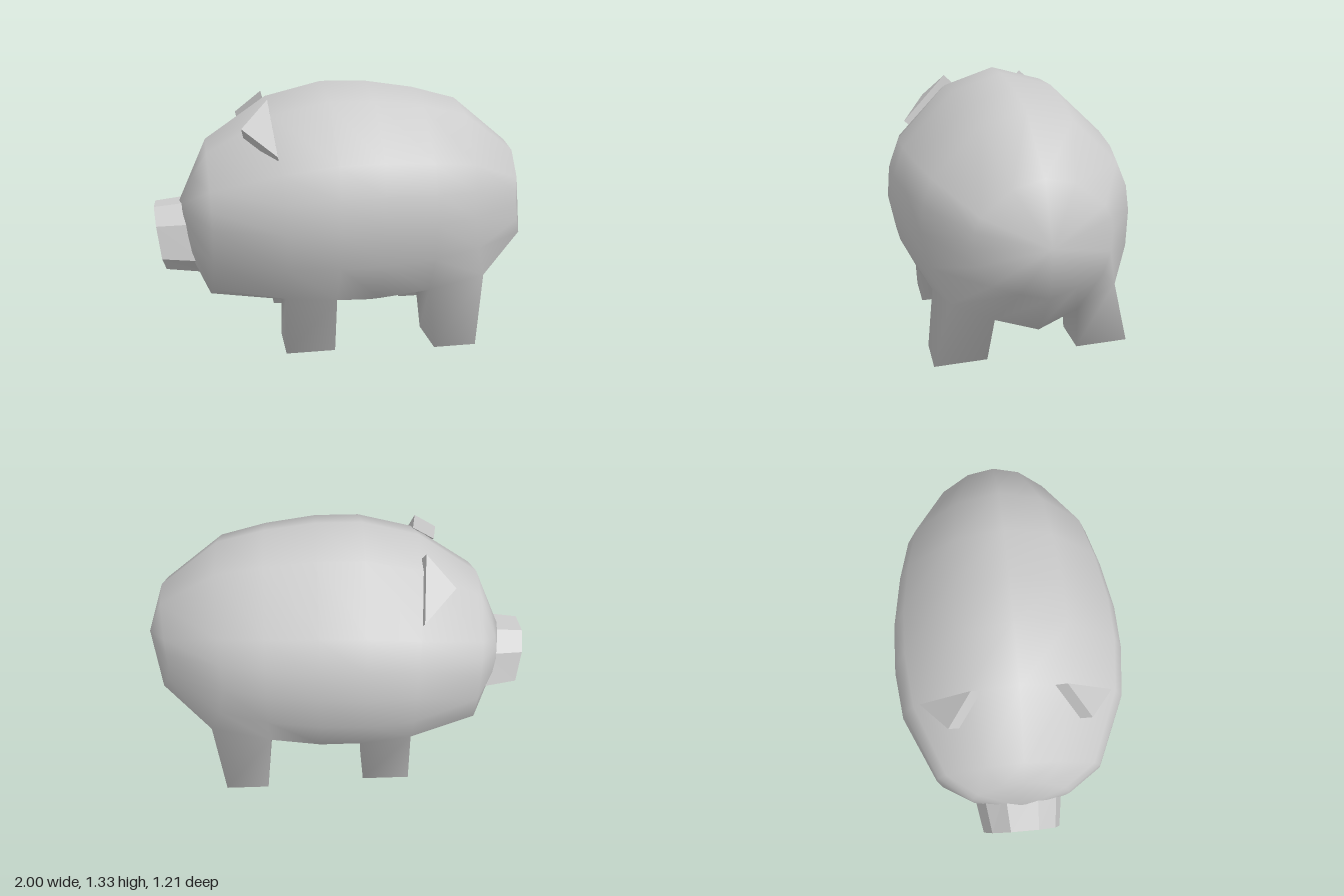
import * as THREE from 'three';

const material = new THREE.MeshStandardMaterial({ color: 0xcccccc });
const flatMaterial = new THREE.MeshStandardMaterial({ color: 0xcccccc, flatShading: true });

// Geometry from points and polygons, with normals smoothed over shared points
function polygons(points, faces) {
  const geometry = new THREE.BufferGeometry();
  geometry.setAttribute('position', new THREE.Float32BufferAttribute(points.flat(), 3));
  geometry.setIndex(faces.flatMap(f => f.slice(2).flatMap((v, i) => [f[0], f[i + 1], v])));
  geometry.computeVertexNormals();
  return geometry;
}

function add(parent, name, geometry, mat = material) {
  const mesh = new THREE.Mesh(geometry, mat);
  mesh.name = name;
  parent.add(mesh);
}

// Half cross-section of the trunk: [width factor, height factor], from spine to belly
const HALF = [[0, 1], [0.43, 0.88], [0.87, 0.47], [0.97, 0.24], [1, 0],
  [0.95, -0.34], [0.8, -0.69], [0.4, -0.87], [0, -1]];
const SECTION = [...HALF, ...HALF.slice(1, -1).reverse().map(([w, h]) => [-w, h])];

// Trunk stations from nose to rump:
// x, half width, top, middle, bottom, backward lean of the spine and of the belly
const STATIONS = [
  [-0.825, 0.25, 0.9, 0.66, 0.37, 0.03, 0.025],
  [-0.71, 0.42, 1.045, 0.67, 0.2, -0.02, -0.02],
  [-0.37, 0.575, 1.26, 0.67, 0.165, -0.05, 0],
  [-0.12, 0.605, 1.335, 0.68, 0.14, -0.01, 0],
  [0.1, 0.6, 1.335, 0.69, 0.13, 0, 0],
  [0.36, 0.56, 1.3, 0.69, 0.15, 0, 0],
  [0.57, 0.505, 1.24, 0.7, 0.215, 0.03, 0.165],
  [0.855, 0.32, 1.005, 0.71, 0.47, 0.045, 0.095],
];

// Feet by the station they start from: height, front x, back x, inner z, outer z
const FEET = {
  2: [0.03, -0.37, -0.125, 0.215, 0.46],
  5: [0.02, 0.385, 0.605, 0.228, 0.49],
};
const LEG_COLUMNS = [6, 9];

// Trunk with the four legs drawn out of its underside
function bodyGeometry() {
  const n = SECTION.length, last = STATIONS.length - 1;
  const points = STATIONS.flatMap(([x, w, top, mid, bottom, spine, belly]) => SECTION.map(([u, v]) => [
    x + (v > 0 ? spine : belly) * Math.abs(v) ** 1.5,
    mid + v * (v > 0 ? top - mid : mid - bottom),
    u * w,
  ]));
  const nose = points.push([-0.885, 0.7, 0]) - 1;
  const rump = points.push([1, 0.72, 0]) - 1;
  const faces = [];
  for (let j = 0; j < n; j++) {
    const k = (j + 1) % n;
    faces.push([nose, k, j], [rump, last * n + j, last * n + k]);
    for (let i = 0; i < last; i++) {
      const hip = [i * n + j, i * n + k, (i + 1) * n + k, (i + 1) * n + j];
      if (!FEET[i] || !LEG_COLUMNS.includes(j)) {
        faces.push(hip);
        continue;
      }
      const [y, front, back, inner, outer] = FEET[i];
      const foot = hip.map((_, c) => {
        const u = SECTION[c === 1 || c === 2 ? k : j][0];
        const z = Math.sign(u) * (Math.abs(u) > 0.6 ? outer : inner);
        return points.push([c < 2 ? front : back, y, z]) - 1;
      });
      faces.push(foot);
      for (let c = 0; c < 4; c++) {
        const d = (c + 1) % 4;
        faces.push([hip[c], hip[d], foot[d], foot[c]]);
      }
    }
  }
  return polygons(points, faces);
}

// Eight-sided snout with a sloping front, widest low down
function snoutGeometry() {
  const half = [[0.07, 0.71], [0.16, 0.63], [0.2, 0.47], [0.09, 0.38]];
  const outline = [...half, ...[...half].reverse().map(([z, y]) => [-z, y])];
  const n = outline.length;
  const front = outline.map(([z, y]) => [-1 + (0.71 - y) * 0.15, y, z]);
  const back = outline.map(([z, y]) => [-0.8 + (0.71 - y) * 0.19, 0.545 + (y - 0.545) * 1.14, z * 1.18]);
  const faces = [front.map((_, j) => n - 1 - j)];
  for (let j = 0; j < n; j++) {
    const k = (j + 1) % n;
    faces.push([j, k, n + k, n + j]);
  }
  return polygons([...front, ...back], faces);
}

// Triangular ear plate; side is the sign of z
function earGeometry(side) {
  const outer = [[-0.56, 1.14, 0.335], [-0.425, 1.265, 0.22], [-0.4, 1.025, 0.465]];
  const inner = outer.map(([x, y, z]) => [x + 0.012, y - 0.05, z - 0.05]);
  const points = [...outer, ...inner].map(([x, y, z]) => [x, y, z * side]);
  const faces = [[0, 2, 1], [3, 4, 5], [0, 1, 4, 3], [1, 2, 5, 4], [2, 0, 3, 5]];
  return polygons(points, side > 0 ? faces : faces.map(f => [...f].reverse()));
}

export function createModel() {
  const model = new THREE.Group();
  model.name = 'pig';

  // The whole animal stands slightly turned and leaning
  const animal = new THREE.Group();
  animal.name = 'animal';
  animal.rotation.set(0.035, -0.028, 0);
  animal.position.z = -0.0245;
  model.add(animal);

  add(animal, 'bodyAndLegs', bodyGeometry());
  add(animal, 'snout', snoutGeometry(), flatMaterial);
  for (const [name, side] of [['earLeft', 1], ['earRight', -1]]) {
    add(animal, name, earGeometry(side), flatMaterial);
  }
  return model;
}
